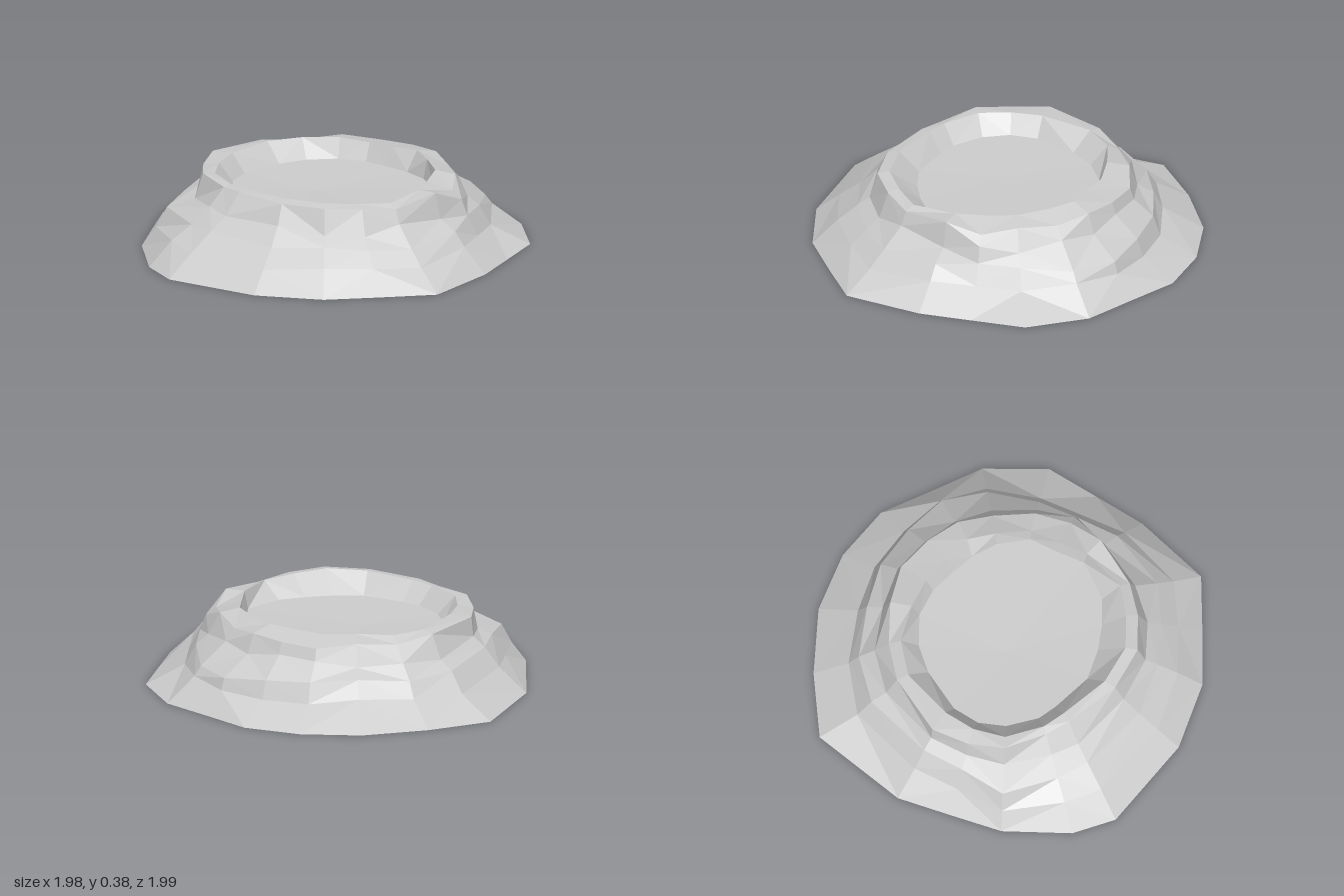
import * as THREE from 'three';

// Bearings of the columns in degrees, from the back (-z) round through +x
const ANGLES = [2, 18, 34, 53, 69, 85, 108, 124, 141, 162, 191, 204, 225, 242, 259, 288, 307, 327, 345];
const N = ANGLES.length;

// A ring of points from one radius per column and heights (one value or one per column)
function ring(radii, heights) {
  return ANGLES.map((deg, i) => {
    const a = THREE.MathUtils.degToRad(deg);
    const y = Array.isArray(heights) ? heights[i] : heights;
    return new THREE.Vector3(radii[i] * Math.sin(a), y, -radii[i] * Math.cos(a));
  });
}

// Faceted strip between an inner and an outer ring, with alternating diagonals
function band(inner, outer) {
  const tris = [];
  for (let i = 0; i < N; i++) {
    const j = (i + 1) % N;
    const [a, b, c, d] = [inner[i], inner[j], outer[j], outer[i]];
    if (i % 2) tris.push(a, c, d, a, b, c);
    else tris.push(a, b, d, b, c, d);
  }
  return tris;
}

// Triangle fan closing a ring, facing up or down
function fan(points, centre, up) {
  return points.flatMap((p, i) => {
    const q = points[(i + 1) % N];
    return up ? [centre, q, p] : [centre, p, q];
  });
}

export function createModel() {
  const group = new THREE.Group();
  const material = new THREE.MeshStandardMaterial({ color: 0xcccccc, flatShading: true });
  const add = (name, tris) => {
    const geometry = new THREE.BufferGeometry().setFromPoints(tris);
    geometry.computeVertexNormals();
    const mesh = new THREE.Mesh(geometry, material);
    mesh.name = name;
    group.add(mesh);
  };

  // Rings from the ground up to the crest and down into the hollow
  const outlineR = [1, 0.963, 1.007, 1.014, 0.95, 0.963, 1.04, 0.965, 0.967, 0.965, 1.01, 0.985, 0.926, 0.892, 0.937, 1.043, 0.986, 0.99, 0.995];
  const ledgeR = [0.79, 0.84, 0.82, 0.76, 0.74, 0.78, 0.8, 0.76, 0.74, 0.74, 0.74, 0.75, 0.8, 0.72, 0.72, 0.76, 0.76, 0.74, 0.77];
  const ledgeY = [0.19, 0.17, 0.17, 0.2, 0.21, 0.19, 0.17, 0.18, 0.2, 0.18, 0.2, 0.19, 0.2, 0.22, 0.22, 0.2, 0.19, 0.21, 0.2];
  const neckR = [0.66, 0.68, 0.68, 0.7, 0.71, 0.69, 0.68, 0.69, 0.68, 0.65, 0.65, 0.65, 0.66, 0.65, 0.66, 0.68, 0.68, 0.66, 0.67];
  const neckY = [0.29, 0.26, 0.28, 0.25, 0.29, 0.24, 0.27, 0.23, 0.24, 0.27, 0.26, 0.27, 0.24, 0.25, 0.27, 0.24, 0.26, 0.25, 0.28];
  const shoulderR = [0.64, 0.64, 0.63, 0.64, 0.66, 0.66, 0.65, 0.64, 0.64, 0.6, 0.56, 0.57, 0.62, 0.63, 0.65, 0.62, 0.61, 0.62, 0.65];
  const shoulderY = [0.35, 0.36, 0.34, 0.36, 0.33, 0.37, 0.34, 0.36, 0.37, 0.37, 0.37, 0.36, 0.37, 0.36, 0.37, 0.36, 0.34, 0.36, 0.34];
  const crestR = [0.49, 0.53, 0.52, 0.54, 0.53, 0.56, 0.6, 0.58, 0.58, 0.54, 0.51, 0.53, 0.56, 0.55, 0.54, 0.56, 0.55, 0.51, 0.5];
  const crestY = [0.375, 0.385, 0.38, 0.38, 0.37, 0.37, 0.36, 0.37, 0.38, 0.38, 0.375, 0.37, 0.37, 0.37, 0.375, 0.37, 0.37, 0.38, 0.37];
  const floorR = [0.45, 0.47, 0.5, 0.53, 0.51, 0.54, 0.5, 0.46, 0.44, 0.44, 0.43, 0.45, 0.47, 0.48, 0.47, 0.45, 0.46, 0.47, 0.46];

  const outline = ring(outlineR, 0);
  const ledge = ring(ledgeR, ledgeY);
  const neck = ring(neckR, neckY);
  const shoulder = ring(shoulderR, shoulderY);
  const crest = ring(crestR, crestY);
  const floorEdge = ring(floorR, 0.28);

  // The ledge drops steeply at the back and eases into a plain slope at the front
  const foot = ledge.map((p, i) => {
    const t = 0.32 - 0.16 * Math.cos(THREE.MathUtils.degToRad(ANGLES[i]));
    const q = p.clone().lerp(outline[i], t);
    q.y = 0.11 + (i % 3 - 1) * 0.012;
    return q;
  });

  add('lowerSlope', band(foot, outline));
  add('rockLedge', band(ledge, foot));
  add('upperSlope', band(neck, ledge));
  add('rimOuterWall', band(shoulder, neck));
  add('rimTop', band(crest, shoulder));
  add('rimInnerWall', band(floorEdge, crest));
  add('hollowFloor', fan(floorEdge, new THREE.Vector3(-0.06, 0.265, 0.04), true));
  add('underside', fan(outline, new THREE.Vector3(0, 0, 0), false));
  return group;
}
